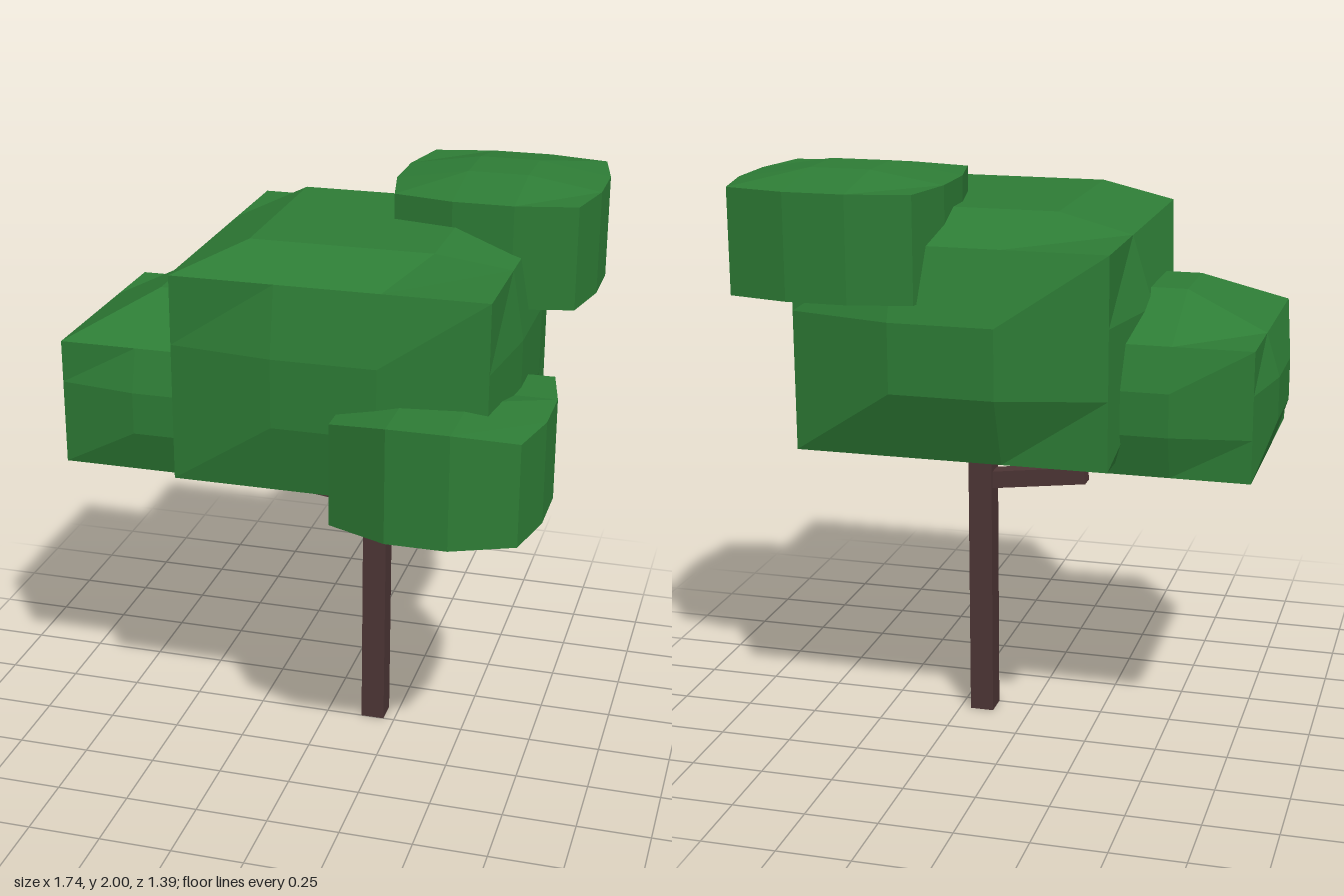
import * as THREE from 'three';

// Box of 3 x 3 cells per side whose inner grid points swell outwards.
// bulge = [-x, +x, -y, +y, -z, +z]; round lets the upright sides swell along their whole height.
function leafBlock(name, material, min, max, bulge, { round = false, adjust } = {}) {
  const size = max.map((m, a) => m - min[a]);
  const geo = new THREE.BoxGeometry(...size, 3, 3, 3);
  geo.translate(...size.map((s, a) => min[a] + s / 2));
  const pos = geo.attributes.position;
  for (let n = 0; n < pos.count; n++) {
    const p = [pos.getX(n), pos.getY(n), pos.getZ(n)];
    const cell = p.map((c, a) => Math.round((3 * (c - min[a])) / size[a]));
    const inner = cell.map((c) => c === 1 || c === 2);
    for (let a = 0; a < 3; a++) {
      const others = [0, 1, 2].filter((b) => b !== a && !(round && a !== 1 && b === 1));
      if (inner[a] || !others.every((b) => inner[b])) continue;
      p[a] += cell[a] === 0 ? -bulge[2 * a] : bulge[2 * a + 1];
    }
    if (adjust) adjust(p, cell, inner);
    pos.setXYZ(n, ...p);
  }
  const flat = geo.toNonIndexed();
  flat.computeVertexNormals();
  const mesh = new THREE.Mesh(flat, material);
  mesh.name = name;
  return mesh;
}

// Square beam between two points
function beam(name, material, from, to, width, depth) {
  const a = new THREE.Vector3(...from), b = new THREE.Vector3(...to);
  const mesh = new THREE.Mesh(new THREE.BoxGeometry(width, a.distanceTo(b), depth), material);
  mesh.position.copy(a).lerp(b, 0.5);
  mesh.quaternion.setFromUnitVectors(new THREE.Vector3(0, 1, 0), b.sub(a).normalize());
  mesh.name = name;
  return mesh;
}

export function createModel() {
  const leaf = new THREE.MeshStandardMaterial({ color: 0x2e7d36, flatShading: true });
  leaf.name = 'leafGreen';
  const bark = new THREE.MeshStandardMaterial({ color: 0x4e3636, flatShading: true });
  bark.name = 'barkBrown';

  const tree = new THREE.Group();
  tree.name = 'tree';

  // Trunk and forked branch
  tree.add(
    beam('trunk', bark, [0.17, 0, -0.042], [0.17, 1.15, -0.042], 0.083, 0.085),
    beam('branch', bark, [0.15, 0.867, -0.042], [-0.2, 0.911, -0.042], 0.06, 0.06),
    beam('twig', bark, [-0.16, 0.92, -0.042], [-0.21, 1.1, -0.042], 0.04, 0.04),
  );

  // Main crown, its raised top wider than the grid cells
  tree.add(leafBlock('mainCrown', leaf, [-0.39, 1.09, -0.57], [0.65, 1.787, 0.475],
    [0.07, 0.04, 0.085, 0.088, 0.085, 0.045], {
      adjust(p, cell, inner) {
        if (cell[1] !== 3 || !inner[0] || !inner[2]) return;
        p[0] = cell[0] === 1 ? -0.175 : 0.43;
        p[2] = cell[2] === 1 ? -0.35 : 0.3;
      },
    }));

  // Side clump with a flat underside
  tree.add(leafBlock('sideClump', leaf, [-0.827, 1.048, -0.44], [-0.04, 1.48, 0.345],
    [0.045, 0, 0, 0.13, 0.04, 0.04]));

  // High clump at the back
  tree.add(leafBlock('highClump', leaf, [0.215, 1.613, -0.653], [0.825, 1.96, -0.045],
    [0.042, 0.042, 0, 0.04, 0.045, 0.045], { round: true }));

  // Low clump at the front, its front rim arched
  tree.add(leafBlock('lowClump', leaf, [0.173, 1.048, 0], [0.78, 1.393, 0.605],
    [0, 0.043, 0.085, 0, 0, 0.087], {
      round: true,
      adjust(p, cell, inner) {
        if (cell[1] === 3 && inner[0] && cell[2] >= 2) p[1] += 0.04;
      },
    }));

  return tree;
}
